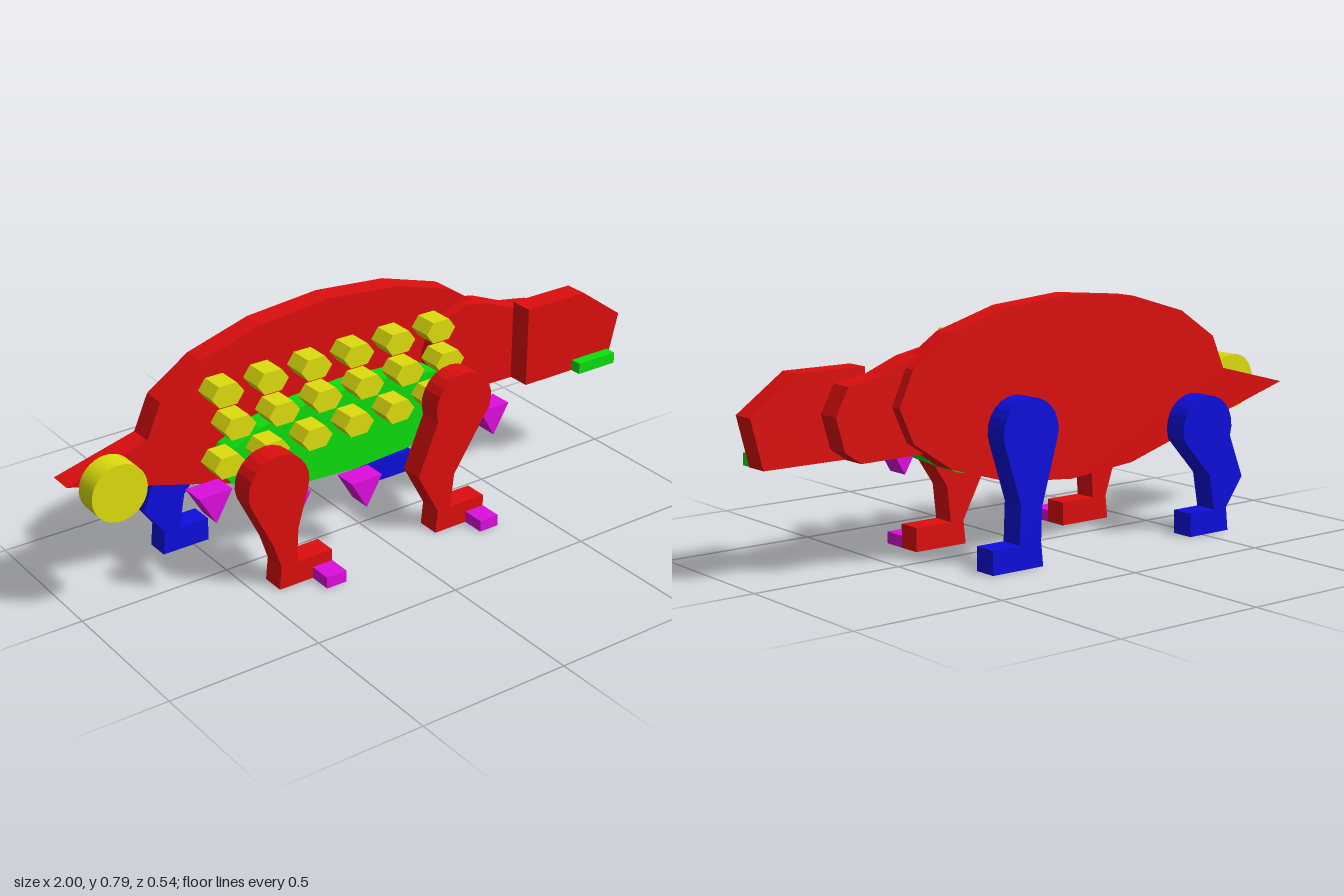
import * as THREE from 'three';

const flat = (name, color) => {
  const m = new THREE.MeshStandardMaterial({ color });
  m.name = name;
  return m;
};

export function createModel() {
  const model = new THREE.Group();
  model.name = 'armouredCreature';
  const red = flat('red', 0xdd0e0e);
  const green = flat('green', 0x0edd0e);
  const yellow = flat('yellow', 0xdddd0e);
  const blue = flat('blue', 0x0e0edd);
  const magenta = flat('magenta', 0xdd0edd);
  const T = 0.077; // thickness of one layer

  // Flat slab cut from an outline, filling z0 to z0 + depth
  const slab = (name, points, z0, material, depth = T) => {
    const shape = new THREE.Shape(points.map(([x, y]) => new THREE.Vector2(x, y)));
    const geometry = new THREE.ExtrudeGeometry(shape, { depth, bevelEnabled: false });
    const mesh = new THREE.Mesh(geometry, material);
    mesh.name = name;
    mesh.position.z = z0;
    model.add(mesh);
    return mesh;
  };
  // Points on an ellipse between two angles in degrees
  const arc = (cx, cy, rx, ry, from, to, steps) =>
    Array.from({ length: steps + 1 }, (_, i) => {
      const a = THREE.MathUtils.degToRad(from + ((to - from) * i) / steps);
      return [cx + rx * Math.cos(a), cy + ry * Math.sin(a)];
    });
  const rect = (x0, x1, y0, y1) => [[x0, y0], [x1, y0], [x1, y1], [x0, y1]];

  // Shell with the tail drawn out to a point
  slab('bodyShell', [
    ...arc(-0.08, 0.5, 0.65, 0.288, -135, 180, 14),
    [-1, 0.43],
  ], -0.115, red);

  // Belly
  slab('belly', arc(-0.04, 0.37, 0.49, 0.143, 0, 337.5, 15), -0.038, green);

  // Neck, head and jaw
  slab('neck', [
    [0.68, 0.346], [0.735, 0.385], [0.765, 0.49], [0.72, 0.575], [0.61, 0.594],
    [0.5, 0.638], [0.42, 0.654], [0.345, 0.628], [0.29, 0.575], [0.265, 0.5],
    [0.285, 0.42], [0.35, 0.35],
  ], -T, red);
  slab('head', [[0.61, 0.348], [0.96, 0.348], [1, 0.503], [0.842, 0.615], [0.61, 0.615]], 0, red);
  slab('jaw', rect(0.805, 0.957, 0.348, 0.385), T, green, 0.038);

  // Tail ball
  const ball = new THREE.Mesh(new THREE.CylinderGeometry(0.091, 0.091, T, 32), yellow);
  ball.name = 'tailBall';
  ball.rotation.x = Math.PI / 2;
  ball.position.set(-0.89, 0.428, T / 2);
  model.add(ball);

  // Three staggered rows of hexagonal plates
  const hexagon = [[-0.055, 0], [-0.03, -0.034], [0.03, -0.034], [0.055, 0], [0.03, 0.034], [-0.03, 0.034]];
  [[-0.543, 0.655], [-0.505, 0.54], [-0.543, 0.423]].forEach(([x0, y0]) => {
    for (let i = 0; i < 6; i++) {
      slab('backPlate', hexagon.map(([x, y]) => [x0 + i * 0.154 + x, y0 + y]), 0.038, yellow);
    }
  });

  // Spikes under the belly
  [[-0.62, 0.374], [-0.345, 0.277], [-0.08, 0.252], [0.417, 0.355]].forEach(([x, y]) =>
    slab('bellySpike', [[x - 0.057, y], [x, y - 0.097], [x + 0.057, y]], T, magenta));

  // Leg: round hip, shin and foot; shin = back of knee x,y then front of knee x,y
  const leg = (name, hip, r, back, front, ankle, heel, toe, z, material) =>
    slab(name, [
      [heel, 0], [toe, 0], [toe, 0.076], [ankle, 0.076], front,
      ...arc(hip[0], hip[1], r, r * 0.98, -20, 200, 14),
      back, [heel + 0.008, 0.076],
    ], z, material);
  leg('frontLeftLeg', [0.263, 0.427], 0.107, [0.09, 0.22], [0.23, 0.19], 0.217, 0.16, 0.35, 0.115, red);
  leg('rearLeftLeg', [-0.425, 0.35], 0.107, [-0.45, 0.16], [-0.36, 0.19], -0.366, -0.43, -0.238, 0.115, red);
  leg('frontRightLeg', [0.205, 0.413], 0.104, [0.165, 0.18], [0.245, 0.2], 0.25, 0.16, 0.35, -0.268, blue);
  leg('rearRightLeg', [-0.515, 0.345], 0.105, [-0.67, 0.17], [-0.527, 0.19], -0.548, -0.61, -0.446, -0.268, blue);

  // Claws on the near feet
  [[0.28, 0.35], [-0.31, -0.238]].forEach(([x0, x1]) =>
    slab('claw', rect(x0, x1, 0, 0.038), 0.192, magenta));

  return model;
}
